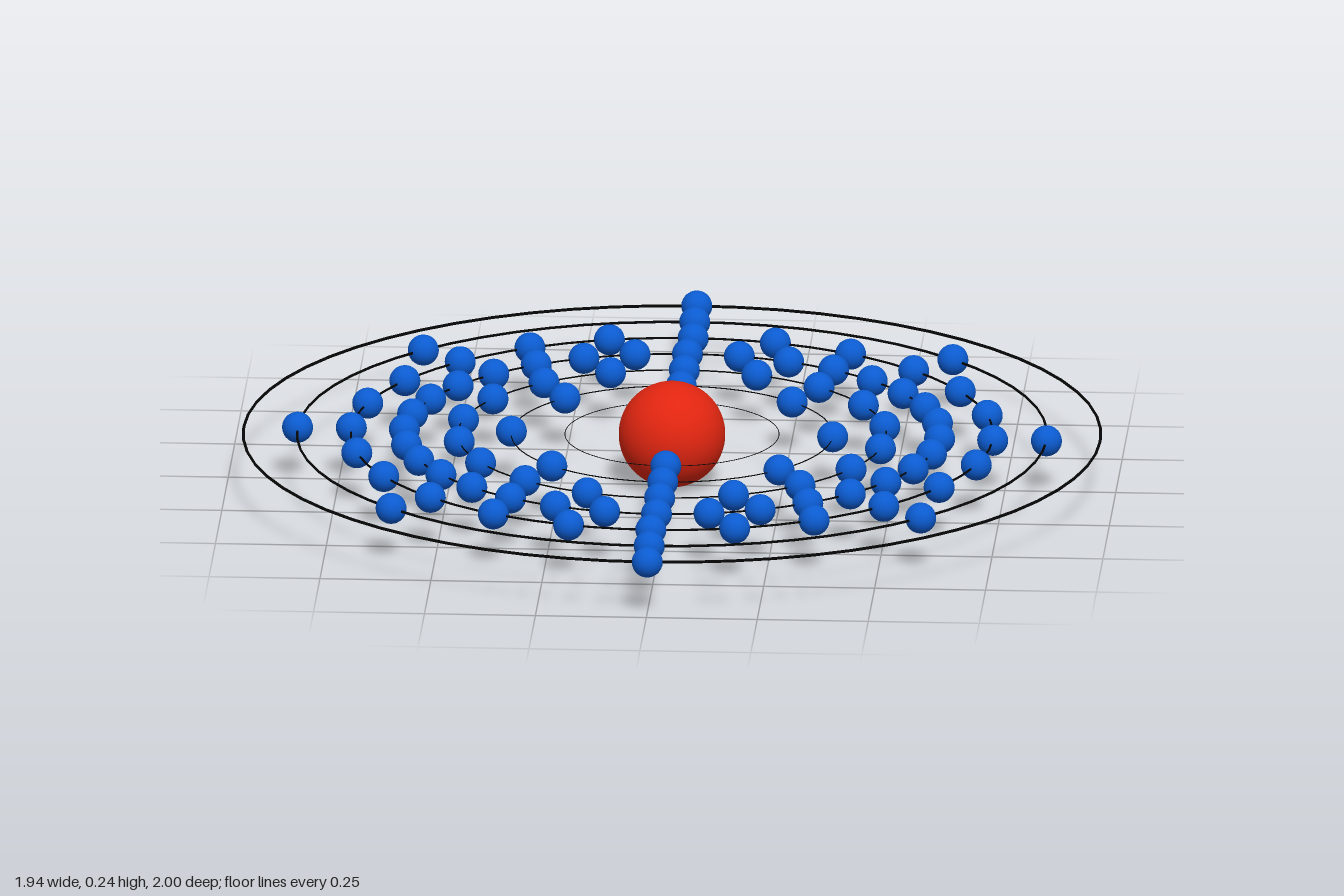
import * as THREE from 'three';

const CENTRE_Y = 0.122;
const NUCLEUS_RADIUS = 0.12;
const ELECTRON_RADIUS = 0.035;

// Electrons on each shell, from the innermost outwards; turn is a small clockwise offset
const SHELLS = [
  { radius: 0.241, count: 2, turn: 0 },
  { radius: 0.362, count: 8, turn: 0 },
  { radius: 0.482, count: 18, turn: 0 },
  { radius: 0.603, count: 32, turn: 0 },
  { radius: 0.723, count: 24, turn: 0.008 },
  { radius: 0.844, count: 8, turn: 0.003 },
  { radius: 0.965, count: 2, turn: 0 },
];

function paint(color) {
  const material = new THREE.MeshStandardMaterial();
  material.color.set(color);
  return material;
}

export function createModel() {
  const model = new THREE.Group();
  model.name = 'atom';

  const orbitPaint = paint(0x050505);
  const electronPaint = paint(0x0b5bd0);
  const electronShape = new THREE.SphereGeometry(ELECTRON_RADIUS, 20, 14);

  // Nucleus
  const nucleus = new THREE.Mesh(
    new THREE.SphereGeometry(NUCLEUS_RADIUS, 48, 32), paint(0xe02510));
  nucleus.name = 'nucleus';
  nucleus.position.y = CENTRE_Y;
  model.add(nucleus);

  // Flat concentric shells: a hair-thin orbit with evenly spaced electrons
  SHELLS.forEach(({ radius, count, turn }, index) => {
    const shell = new THREE.Group();
    shell.name = `shell${index + 1}`;
    shell.position.y = CENTRE_Y;

    // The orbit wire thickens in proportion to its radius
    const orbit = new THREE.Mesh(
      new THREE.TorusGeometry(radius, radius * 0.0035, 6, 64), orbitPaint);
    orbit.name = 'orbit';
    orbit.rotation.x = Math.PI / 2;
    shell.add(orbit);

    // Electrons, counted clockwise from the back
    for (let i = 0; i < count; i++) {
      const angle = turn + (i / count) * Math.PI * 2;
      const electron = new THREE.Mesh(electronShape, electronPaint);
      electron.name = 'electron';
      electron.position.set(Math.sin(angle) * radius, 0, -Math.cos(angle) * radius);
      shell.add(electron);
    }
    model.add(shell);
  });

  return model;
}
